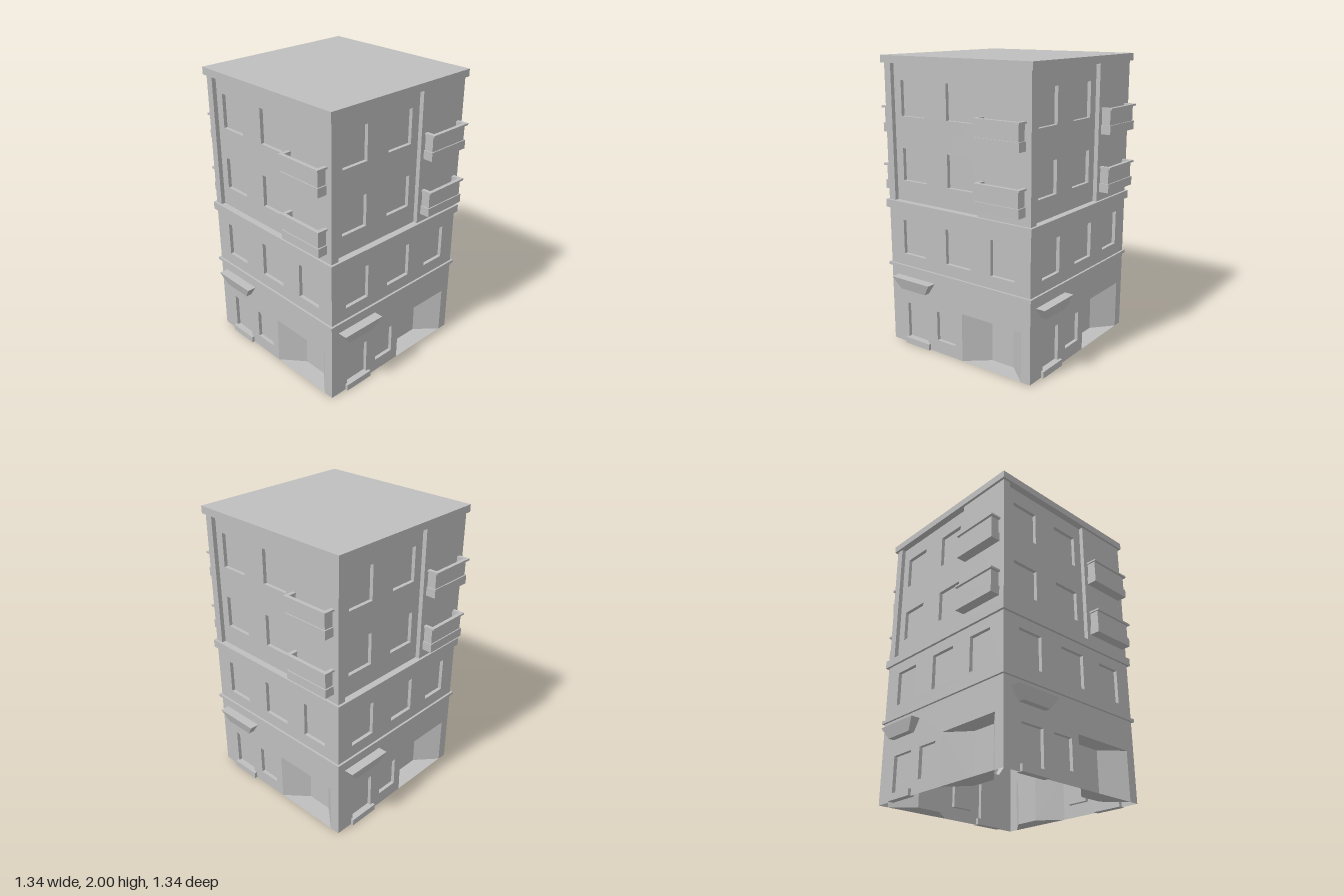
import * as THREE from 'three';

const plaster = new THREE.MeshStandardMaterial({ color: 0xbebebe, side: THREE.DoubleSide });
plaster.name = 'plaster grey';

const W = 0.59;      // wall plane distance from the centre
const PANEL = 0.56;  // recessed upper panel plane

function add(parent, name, geometry) {
  const mesh = new THREE.Mesh(geometry, plaster);
  mesh.name = name;
  parent.add(mesh);
  return mesh;
}

function box(parent, name, x0, x1, y0, y1, z0, z1) {
  const g = new THREE.BoxGeometry(x1 - x0, y1 - y0, z1 - z0);
  g.translate((x0 + x1) / 2, (y0 + y1) / 2, (z0 + z1) / 2);
  return add(parent, name, g);
}

const rect = (x0, x1, y0, y1) => [[x0, y0], [x1, y0], [x1, y1], [x0, y1]];
const at = (loop, z) => loop.map(([x, y]) => [x, y, z]);
const path = (loop) => loop.map(([x, y]) => new THREE.Vector2(x, y));

// Flat wall with openings
function wall(parent, name, outline, holes, z) {
  const shape = new THREE.Shape(path(outline));
  holes.forEach((h) => shape.holes.push(new THREE.Path(path(h))));
  const g = new THREE.ShapeGeometry(shape);
  g.translate(0, 0, z);
  return add(parent, name, g);
}

// Four-sided sleeve between two loops, closed at the second one if capped
function loft(parent, name, a, b, cap = true) {
  const p = [];
  const quad = (q, r, s, t) => p.push(...q, ...r, ...s, ...q, ...s, ...t);
  for (let i = 0; i < 4; i++) {
    const j = (i + 1) % 4;
    quad(a[i], a[j], b[j], b[i]);
  }
  if (cap) quad(b[0], b[1], b[2], b[3]);
  const g = new THREE.BufferGeometry();
  g.setAttribute('position', new THREE.Float32BufferAttribute(p, 3));
  g.computeVertexNormals();
  return add(parent, name, g);
}

const pocket = (parent, name, r, z, depth) => loft(parent, name, at(r, z), at(r, z - depth));

// Band around three sides of a balcony, from y0 to y1
function band(parent, name, x0, x1, z1, t, y0, y1) {
  const shape = new THREE.Shape(path([
    [x0, W], [x0, z1], [x1, z1], [x1, W],
    [x1 - t, W], [x1 - t, z1 - t], [x0 + t, z1 - t], [x0 + t, W],
  ]));
  const g = new THREE.ExtrudeGeometry(shape, { depth: y1 - y0, bevelEnabled: false });
  g.rotateX(Math.PI / 2);
  g.translate(0, y1, 0);
  return add(parent, name, g);
}

function balcony(parent, y) {
  const g = new THREE.Group();
  g.name = 'balcony';
  box(g, 'balconyBase', 0.215, 0.55, y, y + 0.06, W, 0.66);
  band(g, 'balconyParapet', 0.224, 0.541, 0.652, 0.012, y + 0.06, y + 0.163);
  band(g, 'balconyRail', 0.215, 0.557, 0.668, 0.026, y + 0.163, y + 0.176);
  parent.add(g);
}

// Square moulding running round the whole building
function moulding(parent, name, y0, y1, out) {
  const shape = new THREE.Shape(path(rect(-out, out, -out, out)));
  shape.holes.push(new THREE.Path(path(rect(-W, W, -W, W))));
  const g = new THREE.ExtrudeGeometry(shape, { depth: y1 - y0, bevelEnabled: false });
  g.rotateX(Math.PI / 2);
  g.translate(0, y1, 0);
  add(parent, name, g);
}

function facade() {
  const f = new THREE.Group();
  f.name = 'facade';

  // Ground floor, with door, shop window, awning and splayed entrance
  const shopWindow = rect(-0.18, -0.02, 0.09, 0.3);
  const awningBack = [[-0.47, 0.415], [-0.25, 0.415], [-0.195, 0.497], [-0.53, 0.497]];
  const outline = [
    [-W, 0], [-0.465, 0], [-0.465, 0.045], [-0.45, 0.045], [-0.45, 0.3],
    [-0.27, 0.3], [-0.27, 0.045], [-0.245, 0.045], [-0.245, 0],
    [0.04, 0], [0.04, 0.34], [0.52, 0.34], [0.52, 0], [W, 0], [W, 0.565], [-W, 0.565],
  ];
  wall(f, 'groundFloorWall', outline, [shopWindow, awningBack], W);
  pocket(f, 'shopWindow', shopWindow, W, 0.025);
  pocket(f, 'door', rect(-0.45, -0.27, 0.045, 0.3), W, 0.025);
  box(f, 'doorStep', -0.465, -0.245, 0, 0.045, W - 0.025, 0.61);
  loft(f, 'awning', at(awningBack, W),
    awningBack.map(([x, y], i) => [x, y, i < 2 ? 0.632 : 0.655]));
  loft(f, 'entrance', at(rect(0.04, 0.52, 0, 0.34), W), at(rect(0.195, 0.37, 0, 0.34), W - 0.13));

  // First floor with three windows
  const middle = [[-0.465, -0.27], [-0.085, 0.12], [0.285, 0.47]]
    .map(([a, b]) => rect(a, b, 0.66, 0.9));
  wall(f, 'firstFloorWall', rect(-W, W, 0.565, 1.0), middle, W);
  middle.forEach((r) => pocket(f, 'firstFloorWindow', r, W, 0.025));

  // Upper floors: recessed window panel beside a plain balcony bay
  const recess = rect(-0.535, 0.185, 1.03, 1.95);
  const upper = [];
  for (const [y0, y1] of [[1.17, 1.39], [1.605, 1.84]]) {
    for (const [x0, x1] of [[-0.475, -0.27], [-0.085, 0.12]]) upper.push(rect(x0, x1, y0, y1));
  }
  wall(f, 'upperWall', rect(-W, W, 1.0, 1.96), [recess], W);
  loft(f, 'panelReveal', at(recess, W), at(recess, PANEL), false);
  wall(f, 'upperPanel', recess, upper, PANEL);
  upper.forEach((r) => pocket(f, 'upperWindow', r, PANEL, 0.025));
  balcony(f, 1.09);
  balcony(f, 1.485);
  return f;
}

export function createModel() {
  const model = new THREE.Group();
  model.name = 'cornerBuilding';

  // The same facade on all four sides
  for (let i = 0; i < 4; i++) {
    const f = facade();
    f.rotation.y = (i * Math.PI) / 2;
    model.add(f);
  }

  moulding(model, 'lowerBelt', 0.557, 0.578, 0.605);
  moulding(model, 'upperBelt', 0.975, 1.03, 0.607);
  box(model, 'roof', -0.607, 0.607, 1.95, 2, -0.607, 0.607);
  return model;
}
